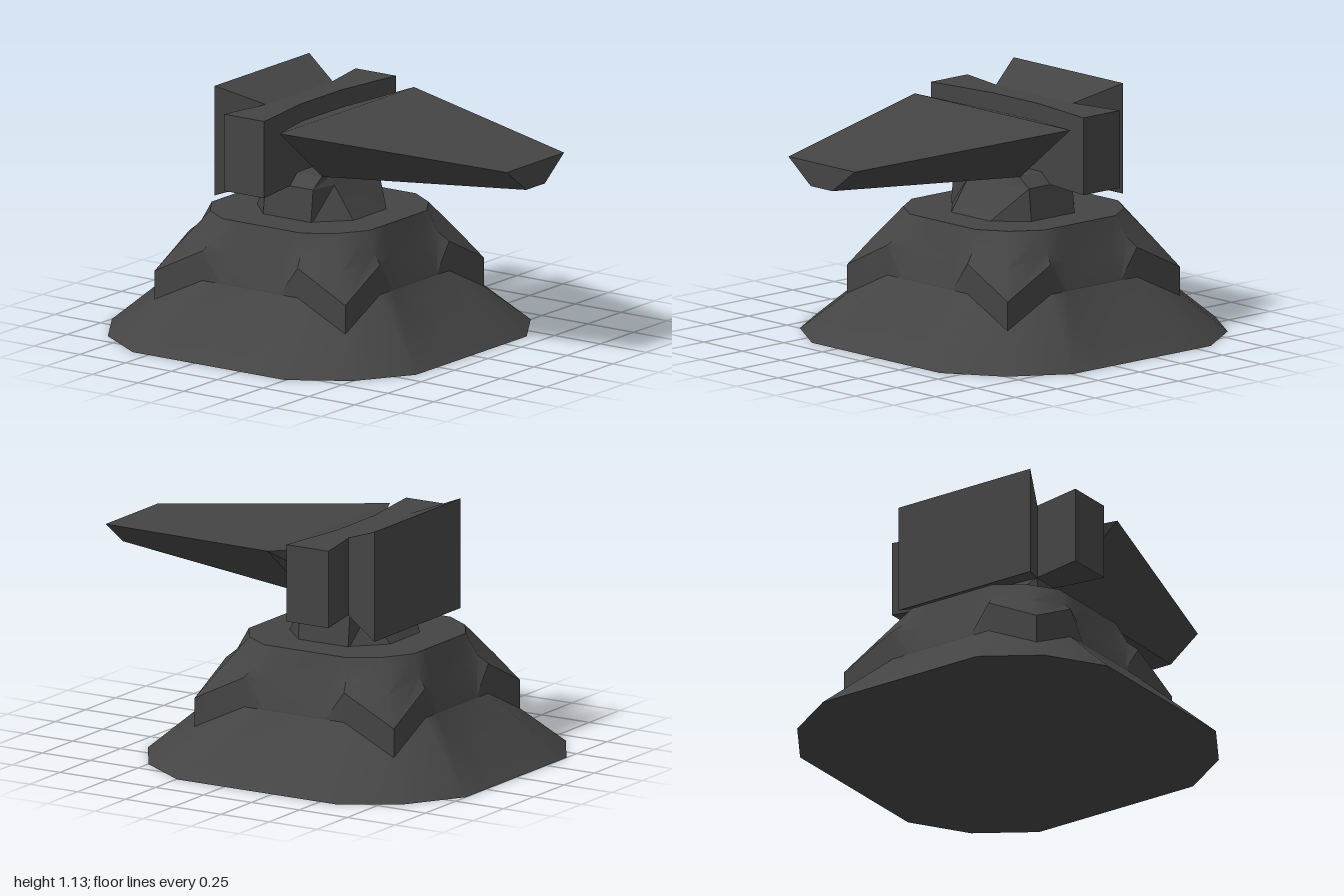
import * as THREE from 'three';
import { toCreasedNormals } from 'three/addons/utils/BufferGeometryUtils.js';

const material = new THREE.MeshStandardMaterial({ color: 0x444444 });

// Skins a series of closed rings (counter-clockwise about the axis) and caps both ends.
function loft(rings, crease = 0.1) {
  const n = rings[0].length, pos = [];
  const tri = (a, b, c) => pos.push(...a, ...b, ...c);
  for (let i = 0; i < rings.length - 1; i++) {
    for (let j = 0; j < n; j++) {
      const k = (j + 1) % n, lo = rings[i], hi = rings[i + 1];
      tri(lo[j], lo[k], hi[k]);
      tri(lo[j], hi[k], hi[j]);
    }
  }
  const first = rings[0], last = rings[rings.length - 1];
  for (let j = 1; j < n - 1; j++) {
    tri(first[0], first[j + 1], first[j]);
    tri(last[0], last[j], last[j + 1]);
  }
  const g = new THREE.BufferGeometry();
  g.setAttribute('position', new THREE.Float32BufferAttribute(pos, 3));
  g.computeVertexNormals();
  return toCreasedNormals(g, crease);
}

// Horizontal ring with four equal sides: corner, shoulder, middle, middle, shoulder.
function fourSided({ d, corner, shoulder, mid, y }) {
  const side = [[corner, -corner, y[0]], [d, -shoulder, y[1]], [d, -mid, y[2]],
    [d, mid, y[2]], [d, shoulder, y[1]]];
  const ring = [];
  for (let k = 0; k < 4; k++) {
    const c = Math.round(Math.cos(k * Math.PI / 2)), s = Math.round(Math.sin(k * Math.PI / 2));
    for (const [x, t, h] of side) ring.push([x * c - t * s, h, -(x * s + t * c)]);
  }
  return ring;
}

// Upright four-cornered section across x, with its own top and bottom half widths.
const section = (x, top, topHalf, bottom, bottomHalf) => [
  [x, top, -topHalf], [x, top, topHalf], [x, bottom, bottomHalf], [x, bottom, -bottomHalf]];

// Horizontal eight-cornered section for the neck.
const octagon = (y, x, z, cx, cz) => [
  [x, y, cz], [cx, y, z], [-cx, y, z], [-x, y, cz],
  [-x, y, -cz], [-cx, y, -z], [cx, y, -z], [x, y, -cz]].reverse();

export function createModel() {
  const model = new THREE.Group();
  const add = (name, geometry, x, z) => {
    const mesh = new THREE.Mesh(geometry, material);
    mesh.name = name;
    mesh.position.set(x, 0, z);
    model.add(mesh);
  };

  // Flared skirt, notched square walls and the rounded deck above them
  add('base', loft([
    fourSided({ d: 0.83, corner: 0.668, shoulder: 0.415, mid: 0.25, y: [0, 0, 0] }),
    fourSided({ d: 0.52, corner: 0.52, shoulder: 0.26, mid: 0.165, y: [0.16, 0.285, 0.285] }),
    fourSided({ d: 0.52, corner: 0.52, shoulder: 0.26, mid: 0.165, y: [0.29, 0.42, 0.29] }),
    fourSided({ d: 0.475, corner: 0.44, shoulder: 0.24, mid: 0.14, y: [0.415, 0.46, 0.41] }),
    fourSided({ d: 0.43, corner: 0.345, shoulder: 0.215, mid: 0.11, y: [0.555, 0.555, 0.555] }),
  ], 0.7), -0.17, 0);

  // Tapered neck
  add('neck', loft([
    octagon(0.54, 0.27, 0.262, 0.13, 0.12),
    octagon(0.70, 0.155, 0.245, 0.13, 0.12),
    octagon(0.745, 0.135, 0.18, 0.13, 0.1),
  ], 0.3), -0.16, -0.005);

  // Long blade-shaped barrel, widest near its rear
  add('barrel', loft([
    section(-0.17, 0.97, 0.15, 0.745, 0.06),
    section(-0.03, 1.01, 0.505, 0.745, 0.18),
    section(1, 0.93, 0.215, 0.82, 0.07),
  ]), 0, -0.013);

  // Waisted cross block behind the barrel
  const outline = [[-0.34, -0.495], [-0.12, -0.495], [-0.17, -0.15], [-0.17, 0.15],
    [-0.12, 0.495], [-0.34, 0.495], [-0.29, 0.25], [-0.29, -0.25]];
  const shape = new THREE.Shape(outline.map(([x, z]) => new THREE.Vector2(x, z)));
  const block = new THREE.ExtrudeGeometry(shape, { depth: 0.35, bevelEnabled: false });
  block.rotateX(-Math.PI / 2).translate(0, 0.70, 0);
  add('crossBlock', block, 0, -0.012);

  // Counterweight flaring toward the rear
  add('counterweight', loft([
    section(-0.49, 1.127, 0.355, 0.627, 0.355),
    section(-0.285, 1.05, 0.25, 0.70, 0.25),
  ]), 0, -0.01);

  return model;
}
